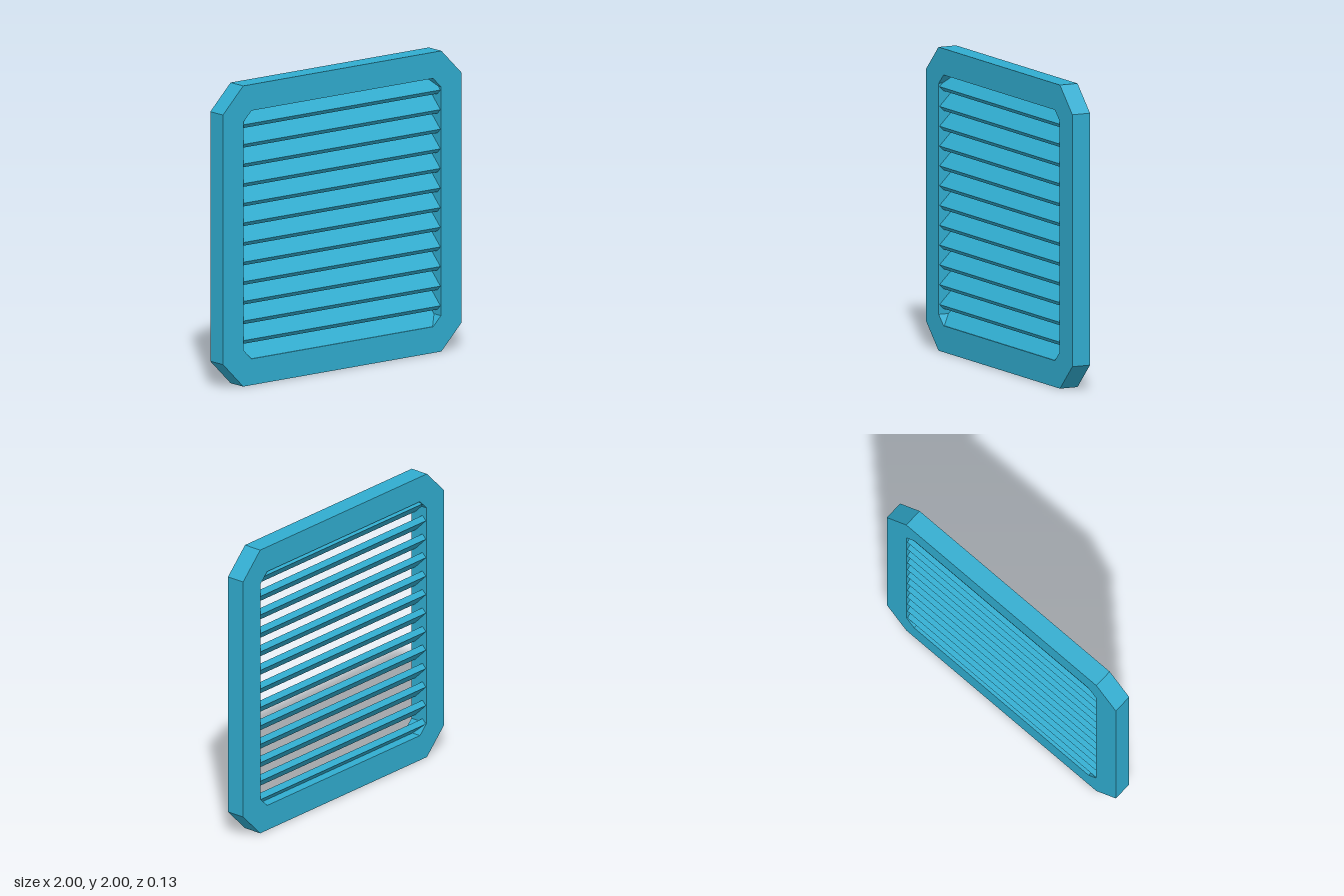
import * as THREE from 'three';

// Square outline with cut corners, centred on the origin
function chamferedSquare(Path, half, cut) {
  const c = half - cut;
  return new Path([
    [c, -half], [half, -c], [half, c], [c, half],
    [-c, half], [-half, c], [-half, -c], [-c, -half],
  ].map(([x, y]) => new THREE.Vector2(x, y)));
}

export function createModel() {
  const group = new THREE.Group();
  group.name = 'louveredVent';
  const material = new THREE.MeshStandardMaterial({ color: 0x30accf, flatShading: true });

  // Frame with a chamfered opening
  const depth = 0.13;
  const outline = chamferedSquare(THREE.Shape, 1, 0.17);
  outline.holes.push(chamferedSquare(THREE.Path, 0.826, 0.065));
  const frameGeometry = new THREE.ExtrudeGeometry(outline, { depth, bevelEnabled: false });
  frameGeometry.translate(0, 1, -depth / 2);
  const frame = new THREE.Mesh(frameGeometry, material);
  frame.name = 'frame';
  group.add(frame);

  // Slats tilted 45 degrees, low edge at the front; the lowest one sinks into the frame
  const slats = new THREE.Group();
  slats.name = 'slats';
  const slatGeometry = new THREE.BoxGeometry(1.66, 0.042, 0.126);
  const count = 13, pitch = 0.1305, topY = 1.769;
  for (let i = 0; i < count; i++) {
    const slat = new THREE.Mesh(slatGeometry, material);
    slat.name = `slat${i + 1}`;
    slat.position.y = topY - i * pitch;
    slat.rotation.x = Math.PI / 4;
    slats.add(slat);
  }
  group.add(slats);

  return group;
}
